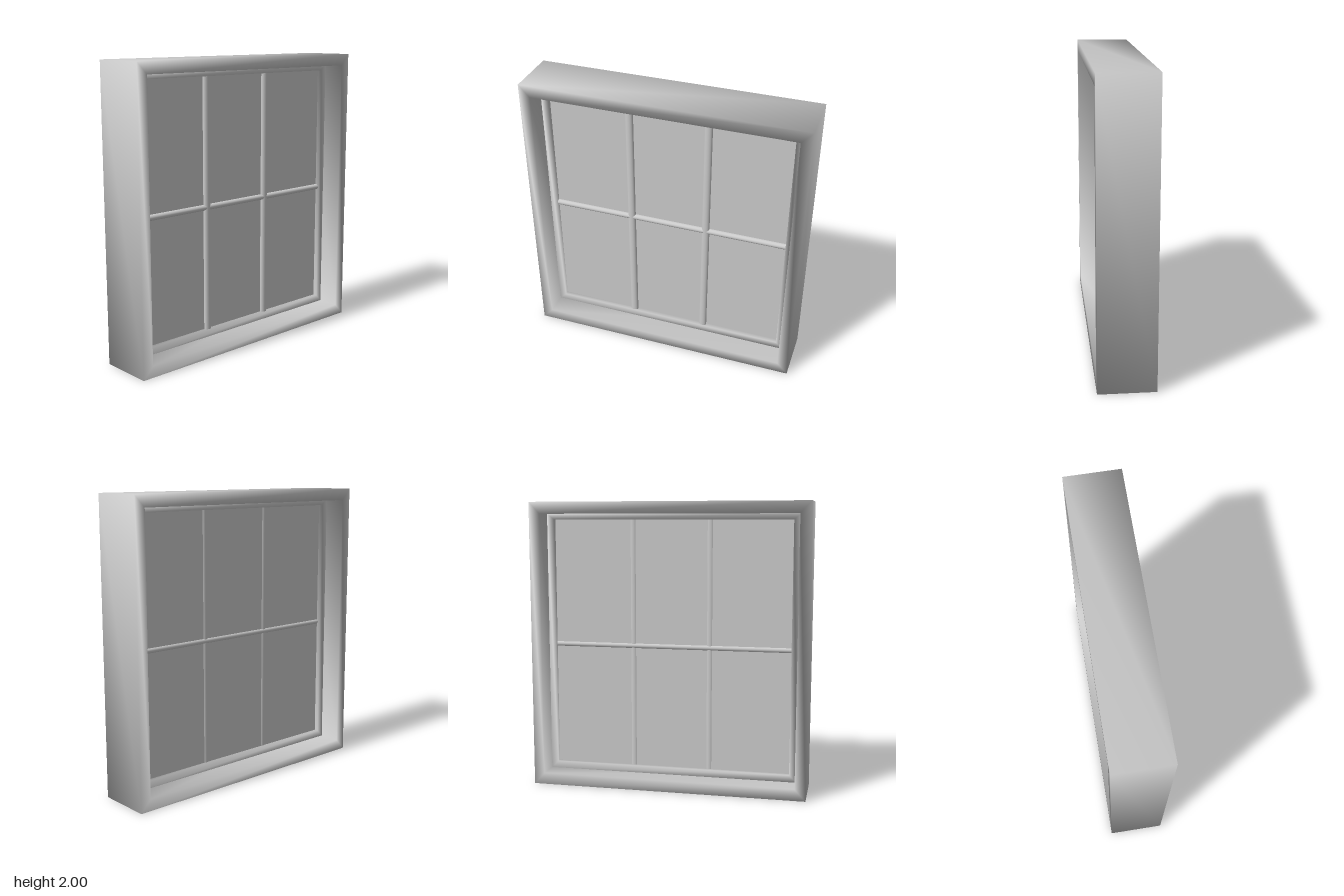
import * as THREE from 'three';

const material = new THREE.MeshStandardMaterial({ color: 0xcccccc });

// Mitred rectangular ring with shared corners, so its shading flows softly round the edges.
// outer and inner are [half width, bottom, top]; depth is the half thickness.
function ringGeometry(outer, inner, depth) {
  const profile = [[outer, depth], [inner, depth], [inner, -depth], [outer, -depth]];
  const positions = [], index = [];
  for (const [[w, bottom, top], z] of profile) {
    positions.push(-w, bottom, z, w, bottom, z, w, top, z, -w, top, z);
  }
  for (let j = 0; j < 4; j++) {
    for (let i = 0; i < 4; i++) {
      const j2 = (j + 1) % 4, i2 = (i + 1) % 4;
      const a = j * 4 + i, b = j * 4 + i2, c = j2 * 4 + i2, d = j2 * 4 + i;
      index.push(a, b, c, a, c, d);
    }
  }
  const geometry = new THREE.BufferGeometry();
  geometry.setAttribute('position', new THREE.Float32BufferAttribute(positions, 3));
  geometry.setIndex(index);
  geometry.computeVertexNormals();
  return geometry;
}

export function createModel() {
  const group = new THREE.Group();
  const add = (name, geometry, x = 0, y = 0, z = 0) => {
    const mesh = new THREE.Mesh(geometry, material);
    mesh.name = name;
    mesh.position.set(x, y, z);
    group.add(mesh);
  };

  const outside = [0.965, 0, 2];
  const opening = [0.89, 0.08, 1.92];
  const paneEdge = [0.84, 0.13, 1.88];

  // Deep outer frame and the thinner sash set in the middle of it
  add('outerFrame', ringGeometry(outside, opening, 0.19));
  add('sash', ringGeometry(opening, paneEdge, 0.035));

  // Glass
  const [halfWidth, bottom, top] = paneEdge;
  const height = top - bottom, middle = (top + bottom) / 2;
  add('glassPane', new THREE.BoxGeometry(halfWidth * 2, height, 0.01), 0, middle, 0);

  // Rounded glazing bars, standing further out on the front
  for (const x of [-0.272, 0.272]) {
    const bar = new THREE.CylinderGeometry(1, 1, height, 16).scale(0.0275, 1, 0.02);
    add('verticalGlazingBar', bar, x, middle, 0.01);
  }
  const bar = new THREE.CylinderGeometry(1, 1, halfWidth * 2, 16).scale(0.02, 1, 0.022).rotateZ(Math.PI / 2);
  add('horizontalGlazingBar', bar, 0, 0.996, 0.007);

  return group;
}
